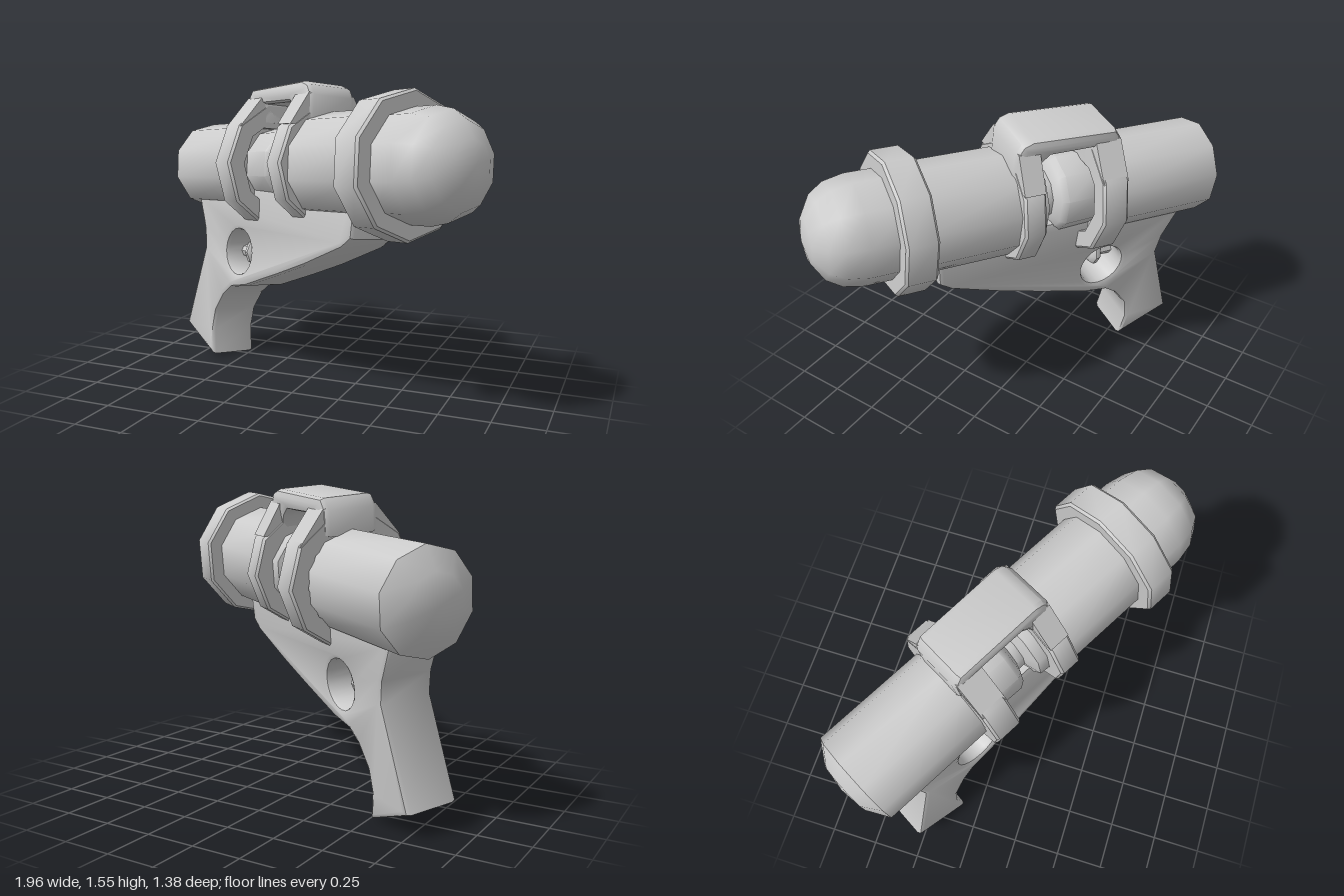
import * as THREE from 'three';
import { toCreasedNormals } from 'three/addons/utils/BufferGeometryUtils.js';

const SIDES = 10;
const material = new THREE.MeshStandardMaterial({ color: 0xcccccc, side: THREE.DoubleSide });

function addMesh(parent, name, geometry) {
  const mesh = new THREE.Mesh(toCreasedNormals(geometry, 0.75), material);
  mesh.name = name;
  parent.add(mesh);
  return mesh;
}

// Turned part along the barrel axis (x); profile is [radius, x] from rear to front
function turned(profile, phase = 0, sides = SIDES) {
  const points = profile.map(([r, s]) => new THREE.Vector2(r, s));
  return new THREE.LatheGeometry(points, sides, phase).rotateZ(-Math.PI / 2);
}

// Band with softened outer edges
function band(inner, outer, s0, s1, phase = 0) {
  const b = 0.012;
  return turned([[inner, s0], [outer - b, s0], [outer, s0 + b], [outer, s1 - b], [outer - b, s1], [inner, s1], [inner, s1 - 0.06]], phase);
}

// Side profile thickened symmetrically about z = 0
function slab(shape, width, bevel) {
  return new THREE.ExtrudeGeometry(shape, {
    depth: width - 2 * bevel, bevelEnabled: true, bevelThickness: bevel,
    bevelSize: bevel, bevelOffset: -bevel, bevelSegments: 2, curveSegments: 10,
  }).translate(0, 0, -width / 2 + bevel);
}

const shapeOf = (pts) => new THREE.Shape(pts.map(([x, y]) => new THREE.Vector2(x, y)));

export function createModel() {
  const model = new THREE.Group();
  model.name = 'toyBlaster';

  // Everything is built along x, then posed with yaw, pitch and roll
  const blaster = new THREE.Group();
  blaster.name = 'blaster';
  blaster.rotation.set(-0.105, -Math.PI / 6, 0.073, 'YZX');
  blaster.position.y = 1.142;
  model.add(blaster);

  // Barrel: rear cap, rear tube, waisted core, front tube and domed nose
  addMesh(blaster, 'barrel', turned([
    [0, -1.06], [0.14, -1.04], [0.245, -0.975], [0.245, -0.3], [0.2, -0.3],
    [0.205, -0.13], [0.185, -0.1], [0.13, -0.08], [0.13, -0.04], [0.215, -0.015],
    [0.22, 0.06], [0.265, 0.06], [0.265, 0.66], [0.26, 0.66], [0.26, 0.87],
    [0.24, 0.97], [0.195, 1.04], [0.11, 1.09], [0, 1.11],
  ], Math.PI / SIDES));

  // Bands around the barrel
  addMesh(blaster, 'noseBand', band(0.24, 0.342, 0.585, 0.742, Math.PI / SIDES));
  addMesh(blaster, 'middleBand', band(0.2, 0.305, 0.038, 0.152));
  addMesh(blaster, 'rearBand', band(0.24, 0.335, -0.39, -0.25));

  // Top bar with a leg on each of the two rear bands
  addMesh(blaster, 'topBar', slab(shapeOf([
    [-0.4, 0.22], [-0.4, 0.34], [-0.36, 0.395], [0.08, 0.41], [0.13, 0.39], [0.158, 0.34], [0.158, 0.22],
    [0.04, 0.22], [0.02, 0.28], [-0.02, 0.315], [-0.25, 0.315], [-0.25, 0.22],
  ]), 0.29, 0.03));

  // Sloping shoulders joining the bar to the bands
  for (const [name, s0, s1, foot] of [['middleShoulder', 0.042, 0.15, 0.245], ['rearShoulder', -0.388, -0.252, 0.27]]) {
    const shoulder = new THREE.ExtrudeGeometry(
      shapeOf([[-foot, 0.17], [foot, 0.17], [0.14, 0.35], [-0.14, 0.35]]),
      { depth: s1 - s0, bevelEnabled: false });
    // Cut the underside up to clear the core
    const p = shoulder.attributes.position;
    for (let i = 0; i < p.count; i++) if (p.getY(i) < 0.2) p.setY(i, 0.19);
    shoulder.rotateY(Math.PI / 2).translate(s0, 0, 0);
    addMesh(blaster, name, shoulder);
  }

  // Body and grip in one slab, with the trigger opening
  const outline = shapeOf([
    [-0.87, -0.1], [-0.885, -0.19], [-0.815, -0.36], [-0.80, -0.47], [-0.976, -0.93],
    [-0.675, -1.07], [-0.69, -0.93], [-0.664, -0.82], [-0.585, -0.72], [-0.51, -0.67],
    [-0.375, -0.65], [-0.09, -0.565], [0.145, -0.49], [0.43, -0.385], [0.495, -0.34], [0.52, -0.1],
  ]);
  outline.holes.push(new THREE.Path().absarc(-0.445, -0.47, 0.12, 0, Math.PI * 2, true));
  addMesh(blaster, 'bodyAndGrip', slab(outline, 0.275, 0.025));

  // Trigger: short stem with a round button
  const trigger = new THREE.Group();
  trigger.name = 'trigger';
  trigger.position.y = -0.475;
  blaster.add(trigger);
  addMesh(trigger, 'triggerStem', turned([[0, -0.6], [0.035, -0.6], [0.035, -0.46], [0, -0.46]], 0, 8));
  addMesh(trigger, 'triggerButton', turned([[0, -0.485], [0.06, -0.485], [0.075, -0.47], [0.075, -0.45], [0.05, -0.43], [0, -0.425]], 0, 8));

  return model;
}
